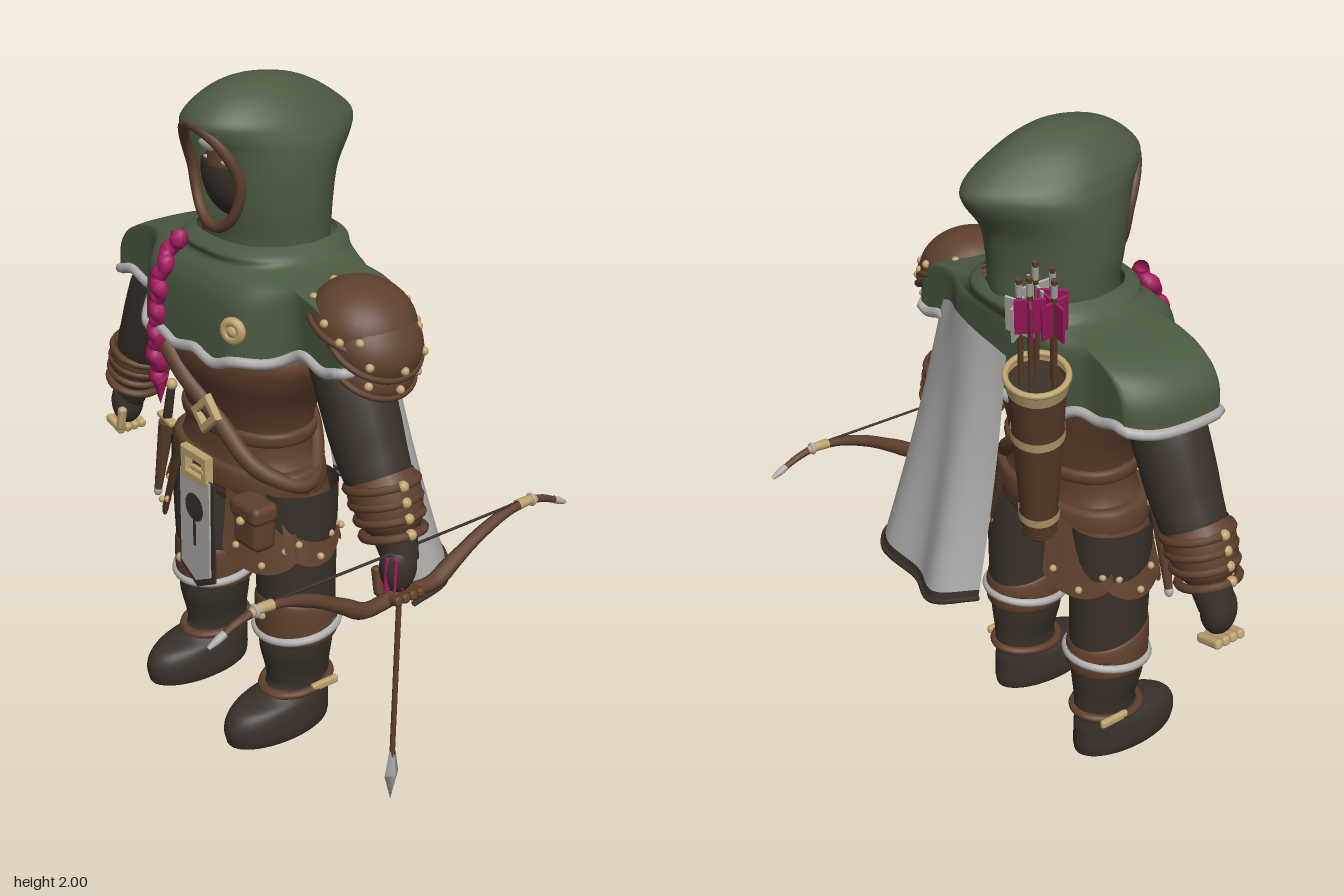
import * as THREE from 'three';
import { mergeVertices } from 'three/addons/utils/BufferGeometryUtils.js';
import { RoundedBoxGeometry } from 'three/addons/geometries/RoundedBoxGeometry.js';

const mat = (name, color) => new THREE.MeshStandardMaterial({ name, color, side: THREE.DoubleSide });
const V = (x, y, z) => new THREE.Vector3(x, y, z);

// Closed rings stacked upward; rows are [y, halfWidth, frontZ, backZ]
function loft(rows, { seg = 40, div = 5, pow = 1, egg = 0, skip } = {}) {
  const pos = [], idx = [], rings = (rows.length - 1) * div + 1;
  const spline = (a, b, c, d, t) => b + 0.5 * t * (c - a + t * (2 * a - 5 * b + 4 * c - d + t * (3 * (b - c) + d - a)));
  const bend = v => Math.sign(v) * Math.abs(v) ** pow;
  for (let r = 0; r < rings; r++) {
    const i = Math.min(Math.floor(r / div), rows.length - 2), t = r / div - i;
    const row = k => rows[Math.max(0, Math.min(rows.length - 1, k))];
    const [y, rx, zf, zb] = [0, 1, 2, 3].map(k => spline(row(i - 1)[k], row(i)[k], row(i + 1)[k], row(i + 2)[k], t));
    for (let j = 0; j < seg; j++) {
      const a = j / seg * Math.PI * 2, s = Math.sin(a);
      pos.push(rx * bend(Math.cos(a)) * (1 - egg * Math.max(0, -s) ** 2), y, (zf + zb) / 2 + (zf - zb) / 2 * bend(s));
    }
  }
  for (let r = 0; r < rings - 1; r++) for (let j = 0; j < seg; j++) {
    const a = r * seg + j, b = r * seg + (j + 1) % seg, c = a + seg, d = b + seg;
    if (skip && skip(...[0, 1, 2].map(k => (pos[a * 3 + k] + pos[d * 3 + k]) / 2))) continue;
    idx.push(a, c, b, b, c, d);
  }
  const g = new THREE.BufferGeometry();
  g.setAttribute('position', new THREE.Float32BufferAttribute(pos, 3));
  g.setIndex(idx);
  g.computeVertexNormals();
  return g;
}

// Tube whose radius follows a list of values
function limb(points, radii, n = 24, sides = 16, closed = false) {
  const curve = new THREE.CatmullRomCurve3(points, closed);
  let g = new THREE.TubeGeometry(curve, n, 1, sides, closed);
  const p = g.attributes.position, v = V(0, 0, 0);
  for (let i = 0; i < p.count; i++) {
    const u = Math.floor(i / (sides + 1)) / n, c = curve.getPointAt(u);
    const f = u * (radii.length - 1), k = Math.min(Math.floor(f), Math.max(0, radii.length - 2));
    const r = THREE.MathUtils.lerp(radii[k], radii[k + 1] ?? radii[k], f - k);
    v.fromBufferAttribute(p, i).sub(c).multiplyScalar(r).add(c);
    p.setXYZ(i, v.x, v.y, v.z);
  }
  g.deleteAttribute('uv'); g.deleteAttribute('normal');
  g = mergeVertices(g, 1e-5);
  g.computeVertexNormals();
  return g;
}

export function createModel() {
  const root = new THREE.Group();
  const green = mat('green cloth', 0x4b5a41), brown = mat('brown leather', 0x5f402d), dark = mat('dark cloth', 0x39312a);
  const grey = mat('pale grey', 0xb0afad), tan = mat('tan metal', 0xbfa470), pink = mat('magenta', 0xa31a60);
  const add = (name, geo, m, x = 0, y = 0, z = 0, parent = root) => {
    const mesh = new THREE.Mesh(geo, m);
    mesh.name = name; mesh.position.set(x, y, z); parent.add(mesh);
    return mesh;
  };
  const ball = (name, m, x, y, z, rx, ry = rx, rz = rx, parent = root) => {
    const b = add(name, new THREE.SphereGeometry(1, 24, 16), m, x, y, z, parent);
    b.scale.set(rx, ry, rz); return b;
  };
  const stud = (x, y, z, r = 0.013, parent = root) => ball('stud', tan, x, y, z, r, r, r, parent);
  const box = (w, h, d, r = 0.01) => new RoundedBoxGeometry(w, h, d, 2, r);
  const outline = pts => pts.map(p => new THREE.Vector2(...p));
  const frame = (w, h, t, d) => {
    const s = new THREE.Shape(outline([[-w, -h], [w, -h], [w, h], [-w, h]]));
    s.holes.push(new THREE.Path(outline([[t - w, t - h], [t - w, h - t], [w - t, h - t], [w - t, t - h]])));
    return new THREE.ExtrudeGeometry(s, { depth: d, bevelSize: 0.004, bevelThickness: 0.004, bevelSegments: 1 });
  };

  // Torso, pelvis and belt
  add('jerkin', loft([[0.77, 0, 0, 0], [0.77, 0.26, 0.14, -0.14], [0.86, 0.265, 0.16, -0.15], [0.93, 0.23, 0.15, -0.14], [1.01, 0.225, 0.15, -0.14],
    [1.1, 0.255, 0.175, -0.15], [1.2, 0.31, 0.205, -0.16], [1.28, 0.33, 0.19, -0.16], [1.42, 0.24, 0.11, -0.14]], { pow: 0.85 }), brown);
  add('jerkinFold', loft([[0.97, 0.222, 0.145, -0.13], [0.98, 0.238, 0.162, -0.152], [1.01, 0.24, 0.164, -0.154], [1.02, 0.222, 0.145, -0.13]], { pow: 0.9 }), brown);
  ball('pelvis', dark, 0, 0.8, 0, 0.24, 0.1, 0.13);
  add('belt', loft([[0.825, 0.26, 0.15, -0.14], [0.83, 0.284, 0.18, -0.17], [0.895, 0.276, 0.177, -0.167], [0.9, 0.24, 0.15, -0.14]], { pow: 0.9 }), brown);
  add('beltBuckle', frame(0.062, 0.047, 0.022, 0.02), tan, -0.005, 0.865, 0.18);
  add('bucklePin', box(0.06, 0.016, 0.014, 0.004), tan, 0.015, 0.865, 0.2);
  add('baldric', limb([V(-0.2, 1.28, 0.18), V(-0.08, 1.17, 0.2), V(0.06, 1.05, 0.168), V(0.2, 0.92, 0.125), V(0.27, 0.86, 0),
    V(0.14, 0.96, -0.13), V(-0.08, 1.15, -0.16), V(-0.24, 1.32, -0.13), V(-0.27, 1.36, 0.03)], [0.026], 70, 10, true), brown);
  const clasp = add('baldricBuckle', frame(0.047, 0.037, 0.016, 0.015), tan, 0.055, 1.06, 0.188);
  clasp.rotation.z = 0.75;

  // Hip plates with rounded lower edges
  for (const s of [-1, 1]) for (const [t0, len, h] of [[0.42, 0.85, 0.2], [1.1, 0.95, 0.18], [1.95, 0.78, 0.17]]) {
    const g = new THREE.CylinderGeometry(0.275, 0.34, h, 14, 6, true, s > 0 ? t0 : Math.PI * 2 - t0 - len, len);
    const p = g.attributes.position;
    for (let i = 0; i < p.count; i++) {
      const u = i % 15 / 14, v = 0.5 - p.getY(i) / h;
      p.setY(i, p.getY(i) - v * 0.06 * Math.sin(u * Math.PI) ** 0.6);
    }
    g.scale(1, 1, 0.66); g.computeVertexNormals();
    add('hipPlate', g, brown, 0, 0.865 - h / 2, 0);
    for (const [da, y, r] of [[0, 0.835 - h, 0.34], [-0.28, 0.88 - h, 0.325], [0.28, 0.88 - h, 0.325]]) {
      const a = s * (t0 + len / 2 + da);
      stud(Math.sin(a) * r, y, Math.cos(a) * r * 0.66, 0.011);
    }
  }
  add('pouch', box(0.12, 0.14, 0.08, 0.025), brown, 0.235, 0.77, 0.16);
  add('pouchFlap', box(0.13, 0.06, 0.09, 0.02), brown, 0.235, 0.82, 0.163);
  stud(0.235, 0.795, 0.21);

  // Tabard with dark border and a plain drop ornament
  const panel = (w, top, side, tip) => new THREE.ExtrudeGeometry(
    new THREE.Shape(outline([[-w, top], [-w, side], [0, tip], [w, side], [w, top]])), { depth: 0.008, bevelEnabled: false });
  add('tabardBorder', panel(0.088, 0.84, 0.51, 0.46), dark, 0, 0, 0.19);
  add('tabard', panel(0.073, 0.84, 0.525, 0.485), grey, 0, 0, 0.196);
  add('ornament', new THREE.CircleGeometry(0.045, 20), dark, 0, 0.735, 0.2055);
  add('ornamentStem', new THREE.PlaneGeometry(0.014, 0.11), dark, 0, 0.66, 0.2055);

  // Legs with boots, knee pads and straps
  for (const s of [-1, 1]) {
    const leg = new THREE.Group(); leg.name = 'leg'; leg.position.x = s * 0.21; root.add(leg);
    add('legAndBoot', loft([[0.005, 0, 0.05, 0.05], [0.005, 0.075, 0.21, -0.11], [0.03, 0.093, 0.238, -0.135], [0.08, 0.094, 0.24, -0.135],
      [0.12, 0.088, 0.205, -0.135], [0.145, 0.078, 0.12, -0.13], [0.17, 0.078, 0.08, -0.13], [0.22, 0.083, 0.083, -0.13], [0.3, 0.1, 0.1, -0.135],
      [0.4, 0.108, 0.1, -0.14], [0.5, 0.108, 0.11, -0.14], [0.7, 0.112, 0.118, -0.14], [0.85, 0.115, 0.12, -0.14]]), dark, 0, 0, 0, leg);
    const knee = loft([[0.34, 0.1, 0.09, -0.13], [0.345, 0.117, 0.107, -0.148], [0.42, 0.119, 0.113, -0.15], [0.47, 0.113, 0.112, -0.145], [0.485, 0.1, 0.1, -0.13]]);
    const p = knee.attributes.position;
    for (let i = 0; i < p.count; i++) p.setY(i, p.getY(i) + (p.getY(i) > 0.41 ? 0.25 * p.getZ(i) - 0.01 : 0));
    knee.computeVertexNormals();
    add('kneePad', knee, brown, 0, 0, 0, leg);
    stud(0, 0.435, 0.113, 0.016, leg);
    for (const [name, m, y, rx, rz, t, tilt] of [['kneeTrim', grey, 0.375, 0.12, 0.127, 0.014, 0.13], ['ankleStrap', brown, 0.165, 0.088, 0.11, 0.013, 0.1]]) {
      const ring = add(name, new THREE.TorusGeometry(1, t / rx, 10, 40), m, 0, y, -0.02, leg);
      ring.scale.set(rx, rz, rx); ring.rotation.x = Math.PI / 2 + tilt;
    }
    add('ankleBuckle', box(0.02, 0.026, 0.1, 0.008), tan, s * 0.09, 0.17, -0.06, leg);
  }

  // Shoulder cape: deep at the chest, narrow over the shoulders, wavy pale hem
  const seg = 120, smooth = THREE.MathUtils.smoothstep;
  const mantle = loft([[1.3, 0.54, 0.225, -0.25], [1.38, 0.535, 0.22, -0.25], [1.44, 0.495, 0.21, -0.25], [1.475, 0.43, 0.195, -0.25],
    [1.495, 0.34, 0.18, -0.25], [1.515, 0.25, 0.16, -0.265], [1.54, 0.222, 0.162, -0.27], [1.56, 0.195, 0.12, -0.24]], { seg, pow: 0.8 });
  const mp = mantle.attributes.position;
  for (let i = 0; i < mp.count; i++) {
    const x = mp.getX(i), ax = Math.abs(x), dz = mp.getZ(i) + 0.045;
    const w = THREE.MathUtils.clamp((1.42 - mp.getY(i)) / 0.12, 0, 1);
    mp.setY(i, mp.getY(i) + w * (0.015 - 0.055 * (1 - smooth(ax, 0.15, 0.4)) + 0.01 * Math.sin(x * 38)));
    mp.setZ(i, THREE.MathUtils.lerp(dz, Math.sign(dz) * Math.min(1.4 * Math.abs(dz), 0.145), smooth(ax, 0.2, 0.36)) - 0.045);
  }
  mantle.computeVertexNormals();
  add('shoulderCape', mantle, green);
  const hem = Array.from({ length: seg }, (_, i) => V(mp.getX(i), mp.getY(i), mp.getZ(i)));
  add('shoulderCapeTrim', limb(hem, [0.016], 180, 8, true), grey);
  add('brooch', new THREE.TorusGeometry(0.026, 0.014, 10, 20), tan, 0.21, 1.37, 0.215).rotation.y = 0.35;
  ball('broochCentre', tan, 0.21, 1.37, 0.21, 0.022);

  // Hood with face opening
  const inFace = (x, y, z) => z > 0 && (x / 0.108) ** 2 + ((y - 1.74) / 0.148) ** 2 < 1;
  add('hood', loft([[1.5, 0.2, 0.13, -0.25], [1.56, 0.198, 0.12, -0.255], [1.65, 0.205, 0.135, -0.26], [1.74, 0.205, 0.15, -0.28], [1.82, 0.197, 0.175, -0.335],
    [1.86, 0.184, 0.2, -0.343], [1.9, 0.162, 0.207, -0.3], [1.95, 0.118, 0.155, -0.22], [1.985, 0.065, 0.08, -0.13], [2, 0, -0.03, -0.03]],
  { seg: 96, div: 6, egg: 0.35, skip: inFace }), green);
  const rim = (rx, ry, a, dz) => {
    const x = rx * Math.cos(a), dy = ry * Math.sin(a);
    return V(x, 1.74 + dy, dz + 0.15 + dy * (dy > 0 ? 0.3 : 0.17) - 0.22 * (1 - Math.sqrt(1 - (x / 0.205) ** 2)));
  };
  add('faceOpeningRim', limb(Array.from({ length: 24 }, (_, i) => rim(0.11, 0.15, i / 24 * Math.PI * 2, 0)), [0.016], 72, 10, true), brown);
  add('scarfEdge', limb([0.5, 0.8, 1.1, 1.4, 1.7].map(a => rim(0.088, 0.125, a, -0.02)), [0.01], 24, 8), pink);
  ball('hoodShadow', dark, 0, 1.74, -0.02, 0.16, 0.19, 0.08);
  ball('face', brown, 0, 1.75, 0.02, 0.105, 0.14, 0.11);
  const mask = add('mask', new THREE.SphereGeometry(1, 32, 20, 0, Math.PI * 2, 1.45, Math.PI - 1.45), dark, 0, 1.75, 0.025);
  mask.scale.set(0.112, 0.15, 0.118);
  ball('hairLock', grey, -0.03, 1.81, 0.11, 0.055, 0.017, 0.014);
  for (const s of [-1, 1]) ball('eye', grey, s * 0.04, 1.778, 0.116, 0.014, 0.006, 0.008);

  // Braid of wavy beads
  const braid = [], thick = [];
  for (let i = 0; i <= 26; i++) {
    const t = i / 26;
    braid.push(V(-0.107 - 0.06 * t + 0.012 * Math.sin(i * 1.5), 1.555 - 0.47 * t, 0.165 + 0.06 * Math.min(1, t * 4) - 0.02 * smooth(t, 0.75, 1) + 0.005 * Math.cos(i * 1.5)));
    thick.push(0.021 + 0.006 * (i % 2));
  }
  add('braid', limb(braid, thick, 90, 10), pink);
  const tassel = add('braidEnd', new THREE.ConeGeometry(0.026, 0.09, 12), pink, -0.165, 1.055, 0.205);
  tassel.rotation.x = Math.PI;

  // Arms, bracers and hands
  for (const s of [-1, 1]) {
    const path = [[0.39, 1.34], [0.45, 1.24], [0.53, 1.07], [0.61, 0.93], [0.65, 0.84], [0.67, 0.79]].map(([x, y]) => V(s * x, y, -0.01));
    add('arm', limb(path, [0.1, 0.108, 0.105, 0.096, 0.07, 0.05]), dark);
    add('bracer', limb([V(s * 0.57, 1.01, -0.01), V(s * 0.61, 0.94, -0.01), V(s * 0.64, 0.865, -0.01)], [0.096, 0.103, 0.1, 0.094, 0.086, 0.06], 24), brown);
    for (let i = 0; i < 4; i++) {
      const band = add('bracerBand', new THREE.TorusGeometry(0.097 - i * 0.004, 0.013, 8, 32), brown, s * (0.58 + i * 0.018), 0.995 - i * 0.042, -0.01);
      band.rotation.set(Math.PI / 2, 0, s * 0.3, 'ZXY');
      stud(s * (0.676 + i * 0.013), 1.025 - i * 0.043, 0.0, 0.016);
    }
    const glove = s > 0 ? brown : tan;
    ball('palm', dark, s * 0.67, 0.78, 0, 0.048, 0.08, 0.055);
    for (let i = 0; i < 4; i++) {
      const f = add('finger', box(0.09, 0.028, 0.026, 0.01), glove, s * 0.685, 0.697, 0.04 - i * 0.027);
      f.rotation.z = s * 0.25;
    }
    const thumb = add('thumb', box(0.026, 0.085, 0.028, 0.01), glove, s * 0.64, 0.735, 0.045);
    thumb.rotation.z = s * 0.2;
  }

  // Layered shoulder guard on the left arm
  for (const [x, y, r, h, tilt] of [[0.455, 1.42, 0.148, 0.11, -0.35], [0.5, 1.385, 0.138, 0.1, -0.62], [0.495, 1.32, 0.125, 0.08, -0.62]]) {
    const guard = new THREE.Group(); guard.name = 'shoulderGuard';
    guard.position.set(x, y, -0.035); guard.rotation.z = tilt; root.add(guard);
    const dome = add('guardDome', new THREE.SphereGeometry(1, 32, 12, 0, Math.PI * 2, 0, Math.PI / 2), brown, 0, 0, 0, guard);
    dome.scale.set(r, h, r);
    add('guardRim', new THREE.TorusGeometry(r, 0.01, 8, 40), brown, 0, 0, 0, guard).rotation.x = Math.PI / 2;
    for (let i = 0; i < 8; i++) stud(Math.cos(i * 0.785) * r * 0.97, 0.03, Math.sin(i * 0.785) * r * 0.97, 0.012, guard);
  }

  // Long cape hanging from the left shoulder
  const top = new THREE.CatmullRomCurve3([V(-0.06, 1.39, -0.265), V(0.08, 1.42, -0.275), V(0.2, 1.42, -0.25), V(0.3, 1.4, -0.205), V(0.38, 1.37, -0.18), V(0.41, 1.35, -0.13)]);
  const low = new THREE.CatmullRomCurve3([V(-0.07, 0.64, -0.39), V(0.05, 0.6, -0.475), V(0.2, 0.58, -0.43), V(0.4, 0.57, -0.42), V(0.53, 0.55, -0.32), V(0.56, 0.54, -0.17)]);
  const drape = (v0, v1) => {
    const g = new THREE.PlaneGeometry(1, 1, 40, 16), p = g.attributes.position;
    for (let i = 0; i < p.count; i++) {
      const u = p.getX(i) + 0.5, v = THREE.MathUtils.lerp(v0, v1, 0.5 - p.getY(i));
      const q = top.getPoint(u).lerp(low.getPoint(u), v);
      p.setXYZ(i, q.x, q.y, q.z + 0.01 * Math.sin(v * Math.PI));
    }
    g.computeVertexNormals();
    return g;
  };
  add('cape', drape(0, 0.965), grey);
  add('capeHem', drape(0.965, 1), dark);
  add('capeHemRoll', limb(low.getPoints(24), [0.009], 48, 8), dark);

  // Quiver with arrows
  const quiver = new THREE.Group(); quiver.name = 'quiver';
  quiver.position.set(-0.15, 0.86, -0.225);
  quiver.quaternion.setFromUnitVectors(V(0, 1, 0), V(-0.12, 0.57, -0.09).normalize()); root.add(quiver);
  add('quiverBody', new THREE.CylinderGeometry(0.08, 0.05, 0.58, 24, 1, true), brown, 0, 0.29, 0, quiver);
  add('quiverBase', new THREE.CylinderGeometry(0.052, 0.036, 0.04, 24), brown, 0, 0, 0, quiver);
  add('quiverFill', new THREE.CylinderGeometry(0.075, 0.075, 0.01, 24), dark, 0, 0.56, 0, quiver);
  for (const [y, r, h] of [[0.08, 0.06, 0.03], [0.4, 0.076, 0.03]])
    add('quiverBand', new THREE.CylinderGeometry(r, r, h, 24, 1, true), tan, 0, y, 0, quiver);
  add('quiverCollar', new THREE.CylinderGeometry(0.088, 0.083, 0.045, 24, 1, true), tan, 0, 0.58, 0, quiver);
  add('quiverLip', new THREE.TorusGeometry(0.084, 0.009, 8, 28), tan, 0, 0.602, 0, quiver).rotation.x = Math.PI / 2;
  [[-0.05, 0.02], [-0.03, -0.04], [0.03, -0.03], [0.035, 0.025], [-0.01, 0.045]].forEach(([x, z], i) => {
    const m = i < 2 || i === 4 ? pink : grey, y = 0.8 + (m === pink ? 0.02 : -0.005) + (i % 2) * 0.025;
    add('arrowShaft', new THREE.CylinderGeometry(0.008, 0.008, 0.45, 8), brown, x, y - 0.1, z, quiver);
    add('arrowNock', new THREE.CylinderGeometry(0.009, 0.009, 0.04, 8), grey, x, y + 0.09, z, quiver);
    for (let k = 0; k < 2; k++) add('fletching', new THREE.BoxGeometry(0.08, 0.11, 0.007), m, x, y, z, quiver).rotation.y = i + k * Math.PI / 2;
  });

  // Dagger at the right hip
  const dagger = new THREE.Group(); dagger.name = 'dagger';
  dagger.position.set(-0.29, 0.88, 0.1); dagger.rotation.z = -0.22; root.add(dagger);
  add('daggerGrip', new THREE.CylinderGeometry(0.013, 0.015, 0.12, 12), dark, 0, 0.07, 0, dagger);
  ball('daggerPommel', tan, 0, 0.135, 0, 0.018, 0.018, 0.018, dagger);
  add('daggerGuard', box(0.08, 0.02, 0.03, 0.008), tan, 0, 0.005, 0, dagger);
  add('daggerSheath', new THREE.CylinderGeometry(0.026, 0.012, 0.27, 12), brown, 0, -0.14, 0, dagger);
  ball('sheathTip', grey, 0, -0.275, 0, 0.014, 0.02, 0.014, dagger);

  // Bow held level, with string and a downward arrow
  const X = 0.68;
  const bow = pts => pts.map(([z, y]) => V(X, y, z));
  for (const s of [-1, 1]) {
    const arc = l => bow(l.map(([z, y]) => [z * s, y]));
    add('bowLimb', limb(arc([[0, 0.7], [0.06, 0.69], [0.13, 0.69], [0.2, 0.73], [0.3, 0.785], [0.4, 0.82], [0.49, 0.828]]), [0.022, 0.022, 0.025, 0.02, 0.018, 0.015, 0.012], 36, 10), brown);
    add('bowWrap', limb(arc([[0.44, 0.827], [0.48, 0.829], [0.51, 0.825]]), [0.016, 0.015, 0.013], 12, 10), tan);
    add('bowEnd', limb(arc([[0.5, 0.827], [0.55, 0.814], [0.6, 0.792]]), [0.012, 0.011, 0.009], 12, 10), brown);
    add('bowTip', limb(arc([[0.59, 0.797], [0.615, 0.785], [0.64, 0.773]]), [0.011, 0.011, 0.006], 8, 10), grey);
    add('bowBand', new THREE.TorusGeometry(0.014, 0.006, 8, 16), grey, X, 0.828, s * 0.495);
  }
  add('bowString', limb(bow([[-0.5, 0.836], [0, 0.834], [0.5, 0.836]]), [0.004], 4, 8), dark);
  add('nockedShaft', new THREE.CylinderGeometry(0.008, 0.008, 0.7, 10), brown, X, 0.49, 0);
  for (let k = 0; k < 3; k++) add('nockedFletching', new THREE.BoxGeometry(0.06, 0.1, 0.007), pink, X, 0.775, 0.025).rotation.y = 0.5 + k * Math.PI / 3;
  const head = new THREE.Group(); head.name = 'arrowhead'; head.position.set(X, 0, 0); head.scale.x = 0.6; root.add(head);
  add('arrowheadPoint', new THREE.ConeGeometry(0.026, 0.09, 4), grey, 0, 0.045, 0, head).rotation.x = Math.PI;
  add('arrowheadNeck', new THREE.CylinderGeometry(0.012, 0.026, 0.08, 4), grey, 0, 0.13, 0, head);

  return root;
}
